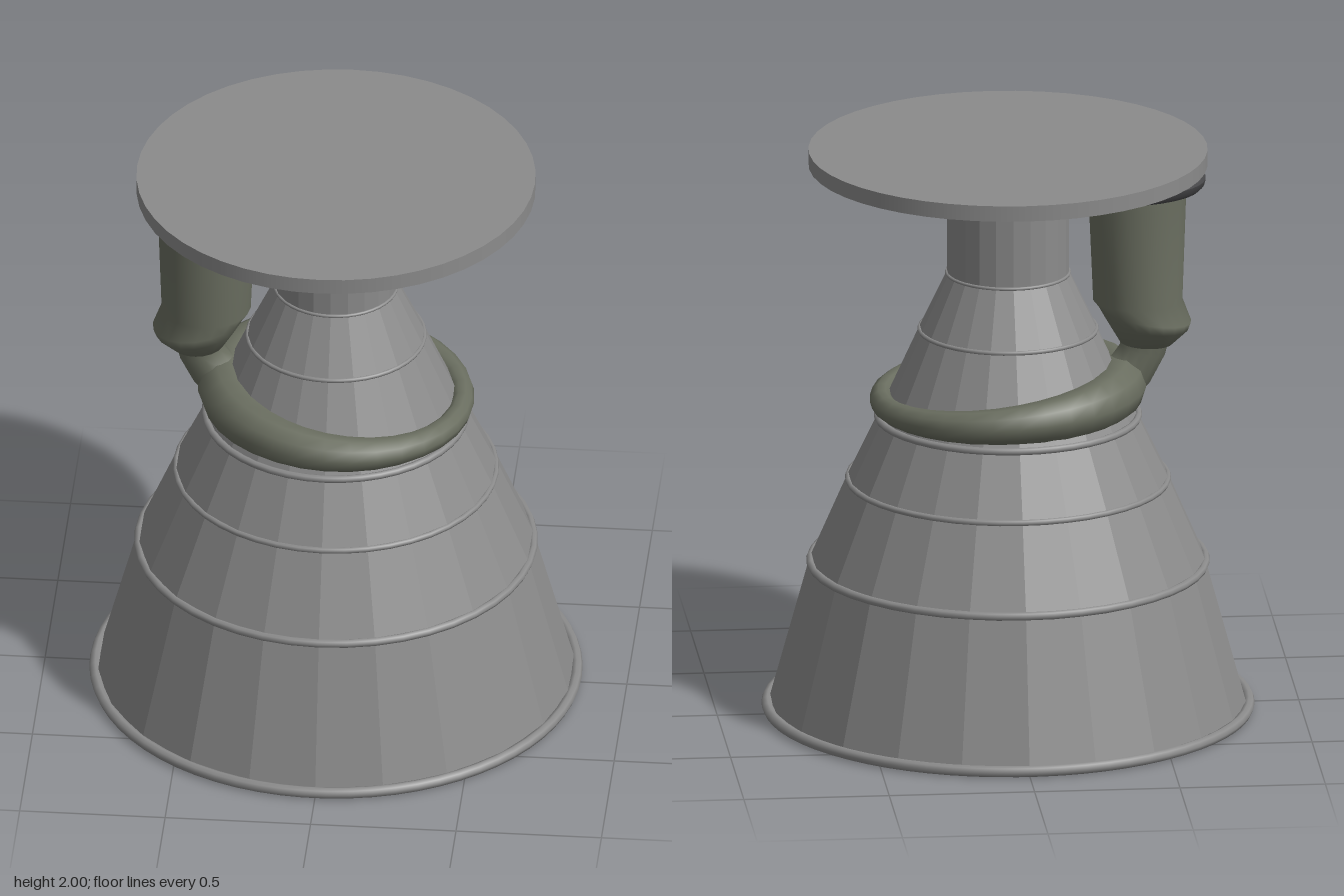
import * as THREE from 'three';

const TAU = Math.PI * 2;
const SIDES = 22;

// Skin made from rows of points; each row is a closed loop
function loft(rows, closed = false) {
  const n = rows[0].length, m = rows.length, index = [];
  for (let i = 0; i < (closed ? m : m - 1); i++) {
    for (let j = 0; j < n; j++) {
      const k = (j + 1) % n, r = i * n, s = ((i + 1) % m) * n;
      index.push(r + j, r + k, s + j, r + k, s + k, s + j);
    }
  }
  const geo = new THREE.BufferGeometry();
  geo.setAttribute('position', new THREE.Float32BufferAttribute(rows.flat(2), 3));
  geo.setIndex(index);
  geo.computeVertexNormals();
  return geo;
}

// Oval loops set by left and right edge points and a half depth
function sectionLoft(sections, sides = 20) {
  return loft(sections.map(([xl, yl, xr, yr, depth]) =>
    Array.from({ length: sides }, (_, j) => {
      const a = (j / sides) * TAU, t = (1 + Math.cos(a)) / 2;
      return [xl + (xr - xl) * t, yl + (yr - yl) * t, Math.sin(a) * depth];
    })));
}

export function createModel() {
  const group = new THREE.Group();
  const material = (name, color) => {
    const m = new THREE.MeshStandardMaterial({ color });
    m.name = name;
    return m;
  };
  const steel = material('steelGrey', 0x8b8b8b);
  steel.side = THREE.DoubleSide;
  const olive = material('oliveGrey', 0x6a6e60);
  olive.side = THREE.DoubleSide;
  const dark = material('darkGrey', 0x4a4a4c);

  const add = (name, geo, mat) => {
    const mesh = new THREE.Mesh(geo, mat);
    mesh.name = name;
    group.add(mesh);
    return mesh;
  };

  // Faceted bell, throat and neck
  const profile = [[0.82, 0.02], [0.68, 0.53], [0.55, 0.83], [0.445, 1.05],
    [0.305, 1.36], [0.21, 1.56], [0.21, 1.95]];
  const bell = new THREE.LatheGeometry(
    profile.map(([r, y]) => new THREE.Vector2(r, y)), SIDES).toNonIndexed();
  bell.computeVertexNormals();
  add('nozzleBell', bell, steel);

  // Stiffening rings: radius, height, tube
  const rings = [[0.825, 0.02, 0.02], [0.677, 0.53, 0.015], [0.548, 0.825, 0.011],
    [0.447, 1.05, 0.013], [0.303, 1.358, 0.008], [0.21, 1.56, 0.006]];
  rings.forEach(([r, y, tube], i) => {
    const geo = new THREE.TorusGeometry(r, tube, 8, i === 0 ? 66 : SIDES * 2);
    geo.rotateX(Math.PI / 2);
    add(i === 0 ? 'exitLip' : 'stiffeningRing', geo, steel).position.y = y;
  });

  // Mounting plate
  add('mountPlate', new THREE.CylinderGeometry(0.684, 0.684, 0.055, 48), steel)
    .position.y = 1.9725;

  // Manifold that swells toward the pump side
  const manifold = Array.from({ length: 32 }, (_, i) => {
    const p = (i / 32) * TAU, r = 0.068 - 0.027 * Math.cos(p), R = 0.475 - r;
    return Array.from({ length: 10 }, (_, j) => {
      const a = (j / 10) * TAU, d = R + r * Math.cos(a);
      return [d * Math.cos(p), 1.065 + r + r * Math.sin(a), d * Math.sin(p)];
    });
  });
  add('manifold', loft(manifold, true), olive);

  // Pump body with its swollen lower end
  add('pumpBody', sectionLoft([
    [-0.612, 1.948, -0.274, 1.948, 0.16],
    [-0.612, 1.8, -0.278, 1.8, 0.16],
    [-0.6, 1.45, -0.293, 1.45, 0.152],
    [-0.63, 1.37, -0.31, 1.43, 0.165],
    [-0.62, 1.345, -0.335, 1.385, 0.155],
    [-0.565, 1.292, -0.385, 1.3, 0.09],
    [-0.48, 1.294, -0.47, 1.294, 0.005],
  ]), olive);

  // Elbow pipe from the pump into the manifold
  add('elbowPipe', sectionLoft([
    [-0.555, 1.31, -0.385, 1.32, 0.08],
    [-0.54, 1.25, -0.385, 1.29, 0.075],
    [-0.49, 1.155, -0.36, 1.255, 0.08],
    [-0.43, 1.09, -0.33, 1.235, 0.085],
  ], 14), olive);

  // Oval collar joining pump and neck
  const collar = new THREE.TorusGeometry(0.2, 0.042, 12, 40);
  const pos = collar.attributes.position;
  for (let i = 0; i < pos.count; i++) {
    const x = pos.getX(i), y = pos.getY(i), d = Math.hypot(x, y);
    pos.setXY(i, x + (x / d) * 0.058, y - (y / d) * 0.008);
  }
  collar.rotateX(Math.PI / 2);
  collar.computeVertexNormals();
  add('pumpCollar', collar, dark).position.set(-0.38, 1.882, 0);

  return group;
}
